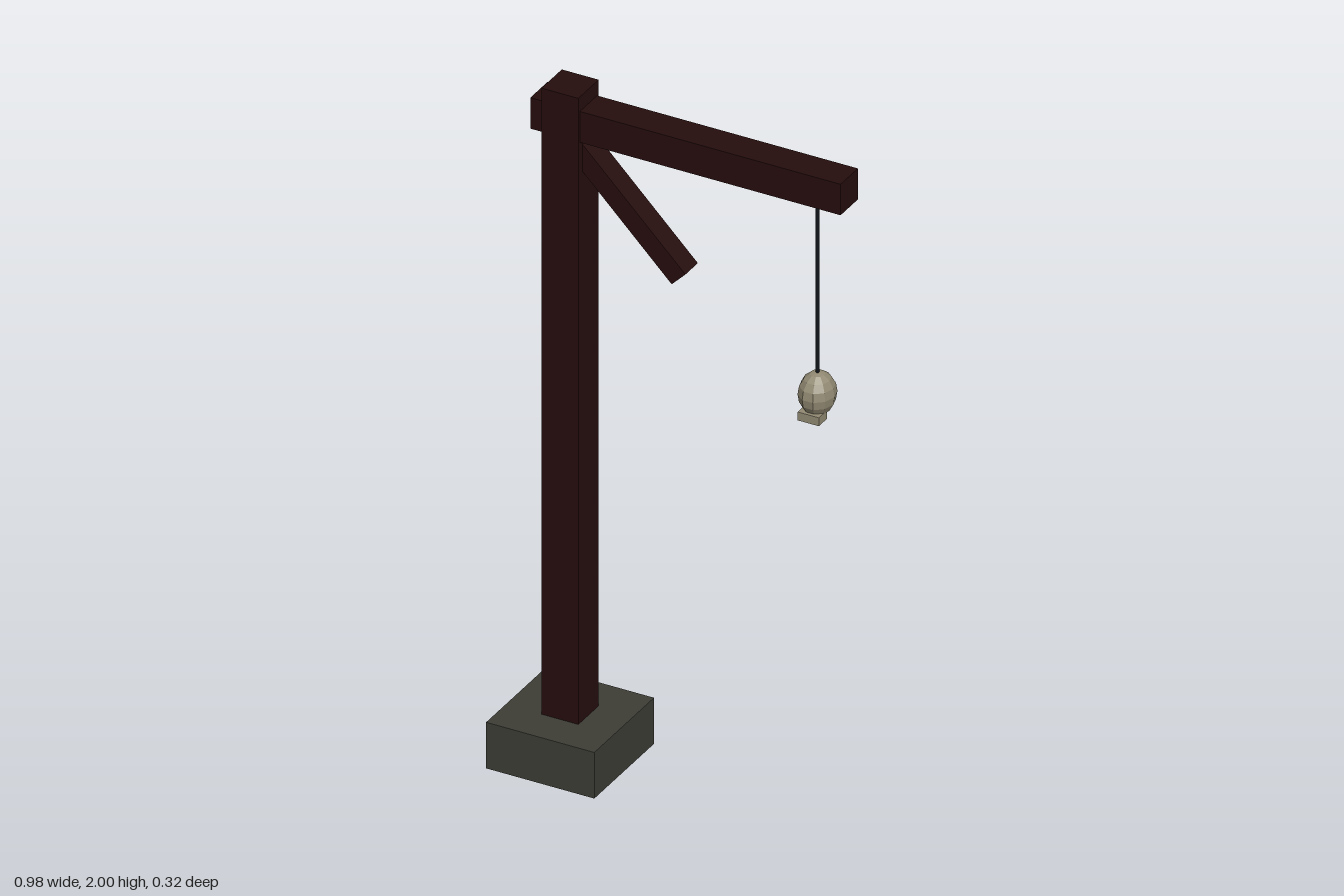
import * as THREE from 'three';

const material = (name, color, flatShading = false) => {
  const m = new THREE.MeshStandardMaterial({ color, flatShading });
  m.name = name;
  return m;
};

export function createModel() {
  const group = new THREE.Group();
  const wood = material('dark wood', 0x260d0d);
  const stone = material('grey stone', 0x3d3d36);
  const bone = material('old bone', 0x928a73, true);
  const cord = material('dark rope', 0x11161a);

  const add = (name, geometry, mat, x, y, z = 0) => {
    const mesh = new THREE.Mesh(geometry, mat);
    mesh.name = name;
    mesh.position.set(x, y, z);
    group.add(mesh);
    return mesh;
  };

  // Stone footing with the post passing through it
  const postX = -0.331;
  add('base', new THREE.BoxGeometry(0.317, 0.137, 0.317), stone, postX, 0.0695);
  add('post', new THREE.BoxGeometry(0.108, 2, 0.108), wood, postX, 1);

  // Horizontal arm and its 45 degree brace
  add('arm', new THREE.BoxGeometry(0.909, 0.092, 0.092), wood, 0.0325, 1.911);
  const brace = add('brace', new THREE.BoxGeometry(0.45, 0.057, 0.066), wood, -0.154, 1.69);
  brace.rotation.z = -Math.PI / 4;

  // Rope hanging from the arm
  const hangX = 0.394;
  add('rope', new THREE.CylinderGeometry(0.005, 0.005, 0.535, 6), cord, hangX, 1.6075);

  // Skull: a faceted, stretched ball with a jaw at the front
  const cranium = add('skull', new THREE.SphereGeometry(1, 10, 8), bone, hangX, 1.288);
  cranium.scale.set(0.05, 0.062, 0.056);
  add('jaw', new THREE.BoxGeometry(0.062, 0.025, 0.042), bone, hangX, 1.234, 0.028);

  return group;
}
